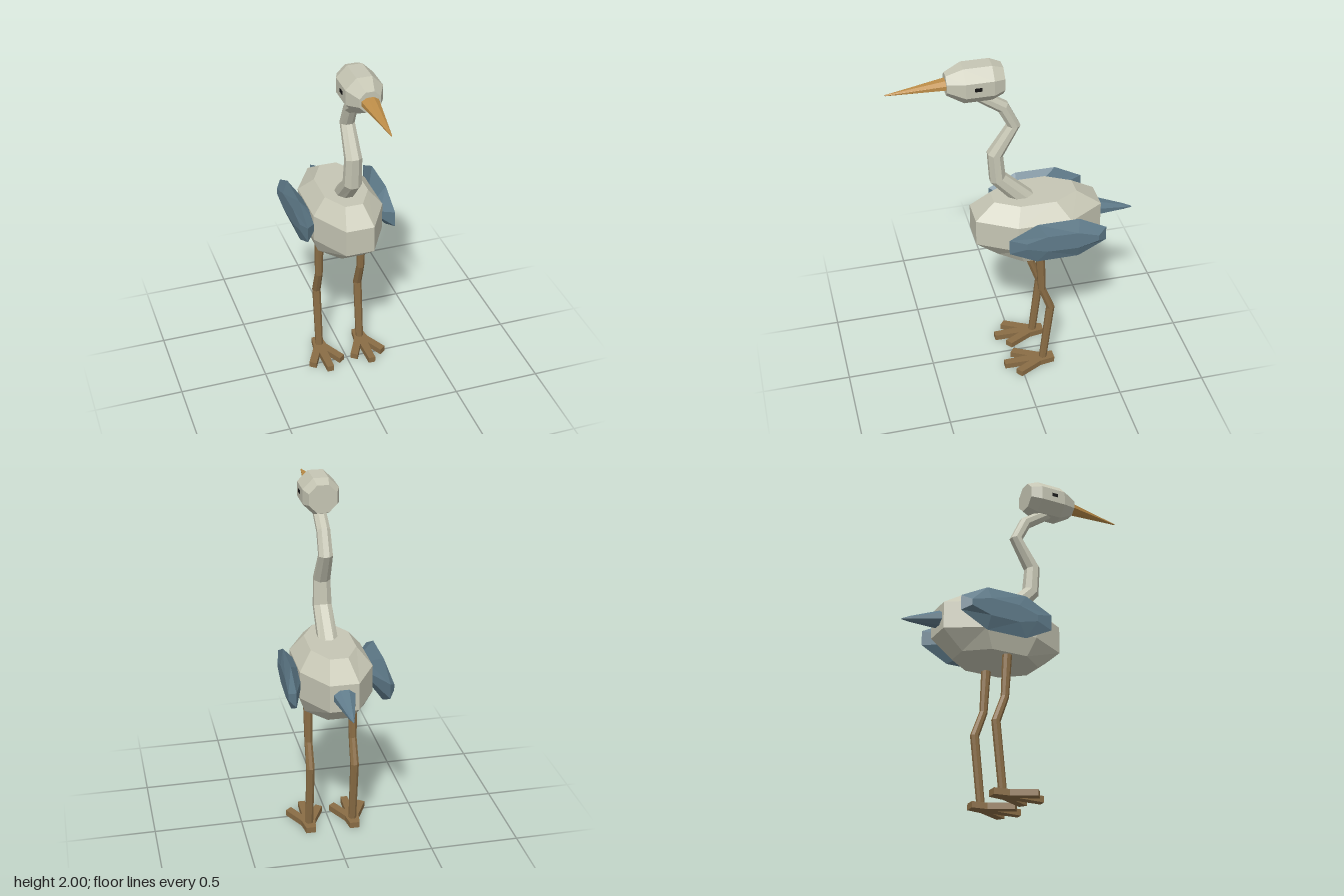
import * as THREE from 'three';

const mat = (color) => new THREE.MeshStandardMaterial({ color, flatShading: true });
const V = (x, y, z) => new THREE.Vector3(x, y, z);

// Closed faceted solid through a stack of rings with equal point counts
function loft(rings) {
  const tris = [];
  const n = rings[0].length;
  for (let i = 0; i < rings.length - 1; i++) {
    for (let j = 0; j < n; j++) {
      const k = (j + 1) % n, a = rings[i], b = rings[i + 1];
      tris.push([a[j], a[k], b[k]], [a[j], b[k], b[j]]);
    }
  }
  const first = rings[0], last = rings[rings.length - 1];
  for (let j = 1; j < n - 1; j++) {
    tris.push([first[0], first[j + 1], first[j]], [last[0], last[j], last[j + 1]]);
  }
  // Turn the faces outward if the rings ran the other way
  const c = V(0, 0, 0);
  let volume = 0;
  for (const [p, q, r] of tris) volume += c.copy(p).cross(q).dot(r);
  const points = tris.flatMap(([p, q, r]) => (volume < 0 ? [p, r, q] : [p, q, r]));
  const g = new THREE.BufferGeometry().setFromPoints(points);
  g.computeVertexNormals();
  return g;
}

// Octagonal limb along [y, z, half width, half depth]; straight keeps rings facing z
function limb(x, path, straight = false, sides = 8) {
  return loft(path.map(([y, z, rx, ry = rx], i) => {
    const p = path[Math.max(i - 1, 0)], q = path[Math.min(i + 1, path.length - 1)];
    let ty = 0, tz = 1;
    if (!straight) {
      const dir = (a, b) => new THREE.Vector2(b[0] - a[0], b[1] - a[1]).normalize();
      const t = dir(p, path[i]).add(dir(path[i], q)).normalize();
      ty = t.x; tz = t.y;
    }
    const k = 1 / Math.cos(Math.PI / sides);
    return Array.from({ length: sides }, (_, j) => {
      const a = ((j + 0.5) / sides) * Math.PI * 2;
      const u = Math.cos(a) * rx * k, v = Math.sin(a) * ry * k;
      return V(x + u, y + v * tz, z - v * ty);
    });
  }));
}

// Plan octagon of the body: narrow ends, wide middle
function bodyRing(y, end, side, back, backSide, frontSide, front) {
  return [[end, front], [side, frontSide], [side, backSide], [end, back],
    [-end, back], [-side, backSide], [-side, frontSide], [-end, front]]
    .map(([x, z]) => V(x, y, z));
}

// Outline octagon of a wing in the yz plane; x may lean from back to front
function wingRing(s, xBack, xFront, back, front, halfY) {
  const mid = (back + front) / 2, h = (front - back) / 2;
  return [[1, 0.36], [0.43, 1], [-0.43, 1], [-1, 0.34],
    [-1, -0.34], [-0.43, -1], [0.43, -1], [1, -0.36]]
    .map(([u, v]) => V(s * (xBack + (xFront - xBack) * (u + 1) / 2), 0.985 + v * halfY, mid + u * h));
}

export function createModel() {
  const group = new THREE.Group();
  const plumage = mat(0xc6c6b4), slate = mat(0x5f7b8a), horn = mat(0xbd8d48);
  const legSkin = mat(0x8a6d45), black = mat(0x141414);
  const add = (name, geometry, material) => {
    const mesh = new THREE.Mesh(geometry, material);
    mesh.name = name;
    group.add(mesh);
    return mesh;
  };

  add('body', loft([
    bodyRing(0.8, 0.065, 0.165, -0.35, -0.22, -0.01, 0.11),
    bodyRing(0.905, 0.08, 0.2, -0.47, -0.27, 0.03, 0.24),
    bodyRing(1.06, 0.08, 0.2, -0.47, -0.27, 0.03, 0.24),
    bodyRing(1.15, 0.05, 0.125, -0.335, -0.2, 0, 0.13),
  ]), plumage);

  add('neck', limb(0, [
    [1.08, -0.09, 0.055], [1.28, 0.1, 0.05, 0.045], [1.435, 0.112, 0.045, 0.042],
    [1.605, 0.01, 0.038, 0.035], [1.725, 0.068, 0.036, 0.034], [1.815, 0.2, 0.035, 0.03],
    [1.85, 0.25, 0.03],
  ]), plumage);

  add('head', limb(0, [
    [1.9, 0.07, 0.077], [1.9, 0.13, 0.1], [1.9, 0.28, 0.1], [1.905, 0.37, 0.056],
  ], true), plumage);

  add('beak', limb(0, [
    [1.905, 0.33, 0.05, 0.03], [1.903, 0.37, 0.046, 0.028], [1.88, 0.68, 0.003],
  ], true), horn);

  add('tail', limb(0, [
    [0.995, -0.42, 0.066, 0.05], [0.988, -0.47, 0.058, 0.043],
    [0.956, -0.63, 0.018, 0.015], [0.946, -0.678, 0.003],
  ], true), slate);

  // Foot plan: three toes forward and a short heel
  const half = [[0.028, -0.065], [0.04, 0.02], [0.107, 0.15], [0.072, 0.178], [0.024, 0.085], [0.02, 0.23]];
  const outline = [...half, ...half.slice().reverse().map(([x, z]) => [-x, z])];
  const footShape = new THREE.Shape(outline.map(([x, z]) => new THREE.Vector2(x, z)));
  const footGeometry = new THREE.ExtrudeGeometry(footShape, { depth: 0.035, bevelEnabled: false });
  footGeometry.rotateX(Math.PI / 2);

  for (const [side, s] of [['left', 1], ['right', -1]]) {
    add(side + 'Eye', new THREE.BoxGeometry(0.016, 0.02, 0.036), black).position.set(s * 0.095, 1.904, 0.215);

    add(side + 'Wing', loft([
      wingRing(s, 0.19, 0.19, -0.25, 0.02, 0.055),
      wingRing(s, 0.253, 0.253, -0.45, 0.093, 0.125),
      wingRing(s, 0.287, 0.272, -0.4, 0, 0.05),
    ]), slate);

    add(side + 'Leg', limb(s * 0.127, [
      [0.88, -0.108, 0.026], [0.555, -0.125, 0.021], [0.41, -0.177, 0.023], [0.02, -0.135, 0.021],
    ]), legSkin);

    add(side + 'Foot', footGeometry, legSkin).position.set(s * 0.128, 0.035, -0.135);
  }
  return group;
}
